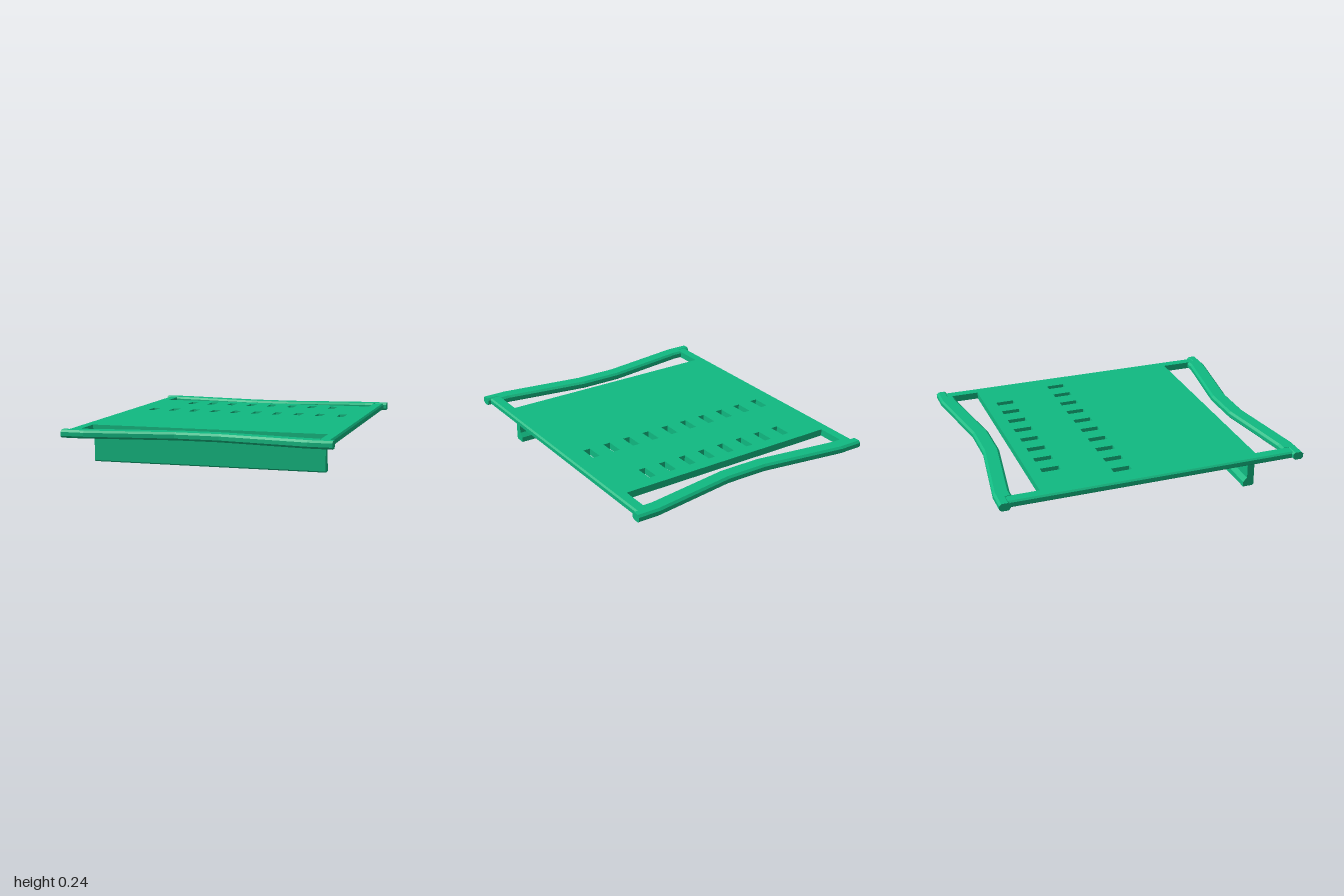
import * as THREE from 'three';

const BOTTOM = 0.19, TOP = 0.235;

export function createModel() {
  const group = new THREE.Group();
  const material = new THREE.MeshStandardMaterial({ color: 0x10b981, flatShading: true });
  const add = (name, geometry) => {
    const mesh = new THREE.Mesh(geometry, material);
    mesh.name = name;
    group.add(mesh);
    return mesh;
  };
  const polygon = (pts) => new THREE.Shape(pts.map(([x, y]) => new THREE.Vector2(x, y)));
  const extrude = (shape, depth) => new THREE.ExtrudeGeometry(shape, { depth, bevelEnabled: false });

  // Rectangle given by x and z ranges, for shapes laid flat
  const rect = (x0, x1, z0, z1) => [[x0, -z1], [x1, -z1], [x1, -z0], [x0, -z0]];

  // Flat panel with two rows of slots
  const panel = polygon(rect(-0.76, 0.76, -0.725, 0.705));
  const rows = [{ count: 8, z: -0.585 }, { count: 10, z: -0.17 }];
  for (const { count, z } of rows) {
    for (let i = 0; i < count; i++) {
      const x = (i - (count - 1) / 2) * 0.149;
      panel.holes.push(polygon(rect(x - 0.024, x + 0.024, z - 0.06, z + 0.06)));
    }
  }
  add('slottedPanel', extrude(panel, TOP - BOTTOM).rotateX(-Math.PI / 2).translate(0, BOTTOM, 0));

  // Side rails with chamfered outer edges
  const c = 0.01, railLength = 1.88;
  for (const [name, s] of [['leftRail', 1], ['rightRail', -1]]) {
    const pts = [[0.76, BOTTOM], [0.83 - c, BOTTOM], [0.83, BOTTOM + c],
      [0.83, TOP - c], [0.83 - c, TOP], [0.76, TOP]];
    const rail = polygon(pts.map(([x, y]) => [s * x, y]));
    add(name, extrude(rail, railLength).translate(0, 0, -railLength / 2));
  }

  // Bent handle bars with a chamfered section
  add('frontBar', barGeometry());
  add('backBar', barGeometry().rotateY(Math.PI));

  // Parts with a (z, y) profile that run across the width
  const across = (pts, width) =>
    extrude(polygon(pts), width).rotateY(-Math.PI / 2).translate(width / 2, 0, 0);

  // Hanging lip with a hooked foot
  add('hookedLip', across([[0.709, BOTTOM + 0.005], [0.662, BOTTOM + 0.005], [0.662, 0.06],
    [0.636, 0.034], [0.636, 0], [0.701, 0], [0.709, 0.008]], 1.5));

  // Small ridge under the panel
  add('underRidge', across([[0.365, BOTTOM + 0.003], [0.335, BOTTOM + 0.003],
    [0.335, 0.18], [0.343, 0.172], [0.365, 0.172]], 1.5));

  return group;
}

// Loft a chamfered section along x; each station is [x, outer z, width]
function barGeometry() {
  const half = [[0.14, 0.915, 0.105], [0.7, 1, 0.105], [0.76, 1, 0.105], [0.765, 1, 0.07], [0.85, 1, 0.07]];
  const stations = [...half.map(([x, z, w]) => [-x, z, w]).reverse(), ...half];
  const y0 = 0.188, y1 = 0.238, cz = 0.014, cy = 0.013;
  const rings = stations.map(([x, z, w]) => [
    [z - w + cz, y1], [z - cz, y1], [z, y1 - cy], [z, y0 + cy],
    [z - cz, y0], [z - w + cz, y0], [z - w, y0 + cy], [z - w, y1 - cy],
  ].map(([pz, py]) => [x, py, pz]));
  const n = 8, last = rings.length - 1, positions = [];
  const tri = (...corners) => corners.forEach((p) => positions.push(...p));
  for (let i = 0; i < last; i++) {
    for (let k = 0; k < n; k++) {
      const a = rings[i][k], b = rings[i + 1][k];
      const d = rings[i][(k + 1) % n], e = rings[i + 1][(k + 1) % n];
      tri(a, d, e);
      tri(a, e, b);
    }
  }
  // End caps
  for (let k = 1; k < n - 1; k++) {
    tri(rings[last][0], rings[last][k], rings[last][k + 1]);
    tri(rings[0][0], rings[0][k + 1], rings[0][k]);
  }
  const geometry = new THREE.BufferGeometry();
  geometry.setAttribute('position', new THREE.Float32BufferAttribute(positions, 3));
  geometry.computeVertexNormals();
  return geometry;
}
